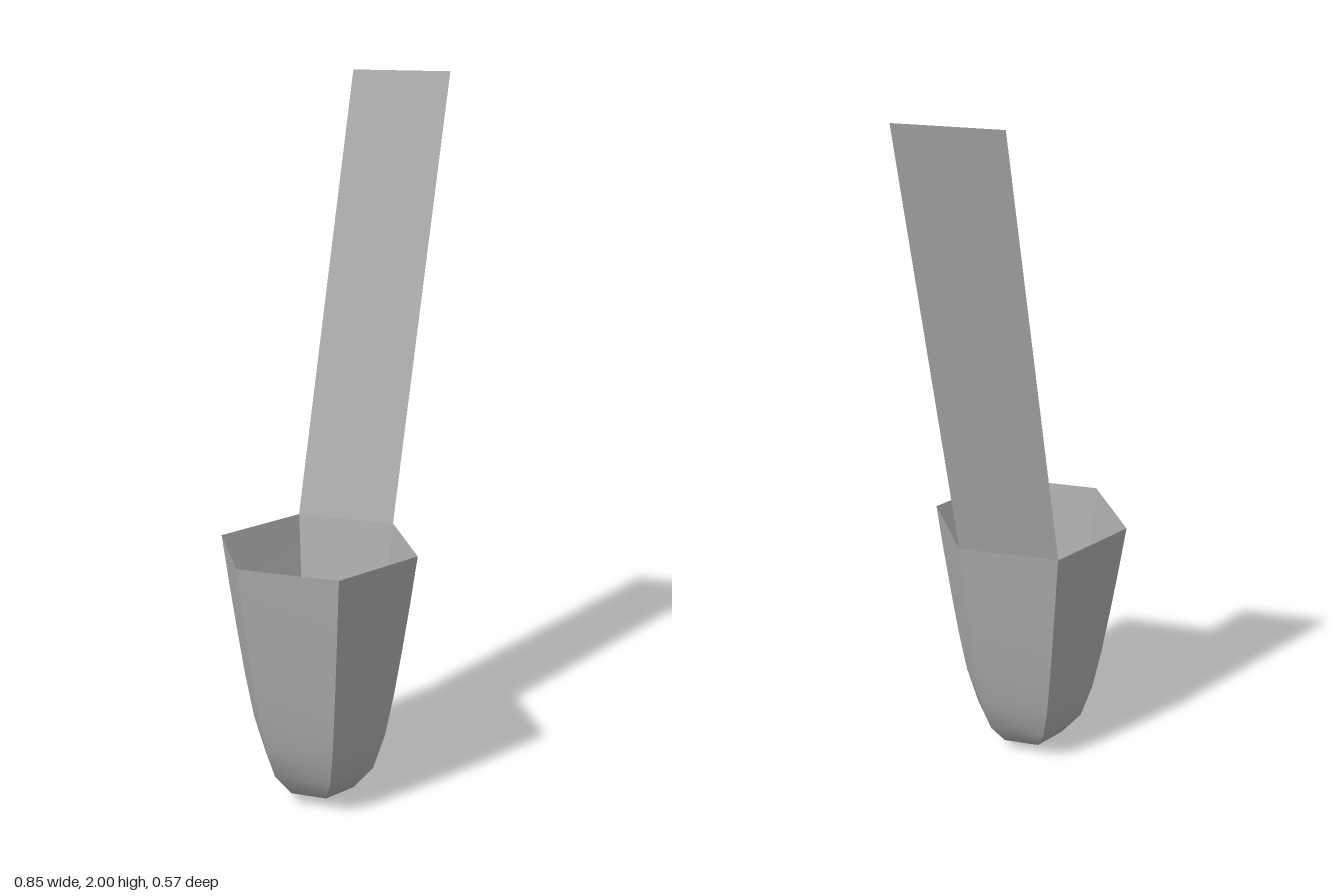
import * as THREE from 'three';
import { toCreasedNormals } from 'three/addons/utils/BufferGeometryUtils.js';

export function createModel() {
  const model = new THREE.Group();
  model.name = 'ladle';
  const metal = new THREE.MeshStandardMaterial({ color: 0xb0b0b0, side: THREE.DoubleSide });
  metal.name = 'grey metal';

  // Six-sided open cup, with a rounded bottom
  const profile = [
    [0, 0], [0.104, 0.035], [0.162, 0.105], [0.196, 0.21],
    [0.222, 0.34], [0.245, 0.48], [0.265, 0.61], [0.285, 0.75],
  ].map(([r, y]) => new THREE.Vector2(r, y));
  const cup = new THREE.Mesh(
    toCreasedNormals(new THREE.LatheGeometry(profile, 6, Math.PI / 2), 0.75), metal);
  cup.name = 'cup';
  cup.position.set(-0.142, 0, 0.037);
  model.add(cup);

  // Flat handle rising from the back left side of the rim
  const rimFront = new THREE.Vector3(0.142, 0.75, 0.037);
  const across = new THREE.Vector3(-0.142, 0, -0.247);
  const along = new THREE.Vector3(0.28, 1.25, -0.076);
  const blade = new THREE.PlaneGeometry(1, 1, 1, 4);
  const pos = blade.attributes.position;
  for (let i = 0; i < pos.count; i++) {
    const p = rimFront.clone()
      .addScaledVector(across, 0.5 + pos.getX(i))
      .addScaledVector(along, 0.5 + pos.getY(i));
    pos.setXYZ(i, p.x, p.y, p.z);
  }
  blade.computeVertexNormals();
  const handle = new THREE.Mesh(blade, metal);
  handle.name = 'handle';
  model.add(handle);

  return model;
}
